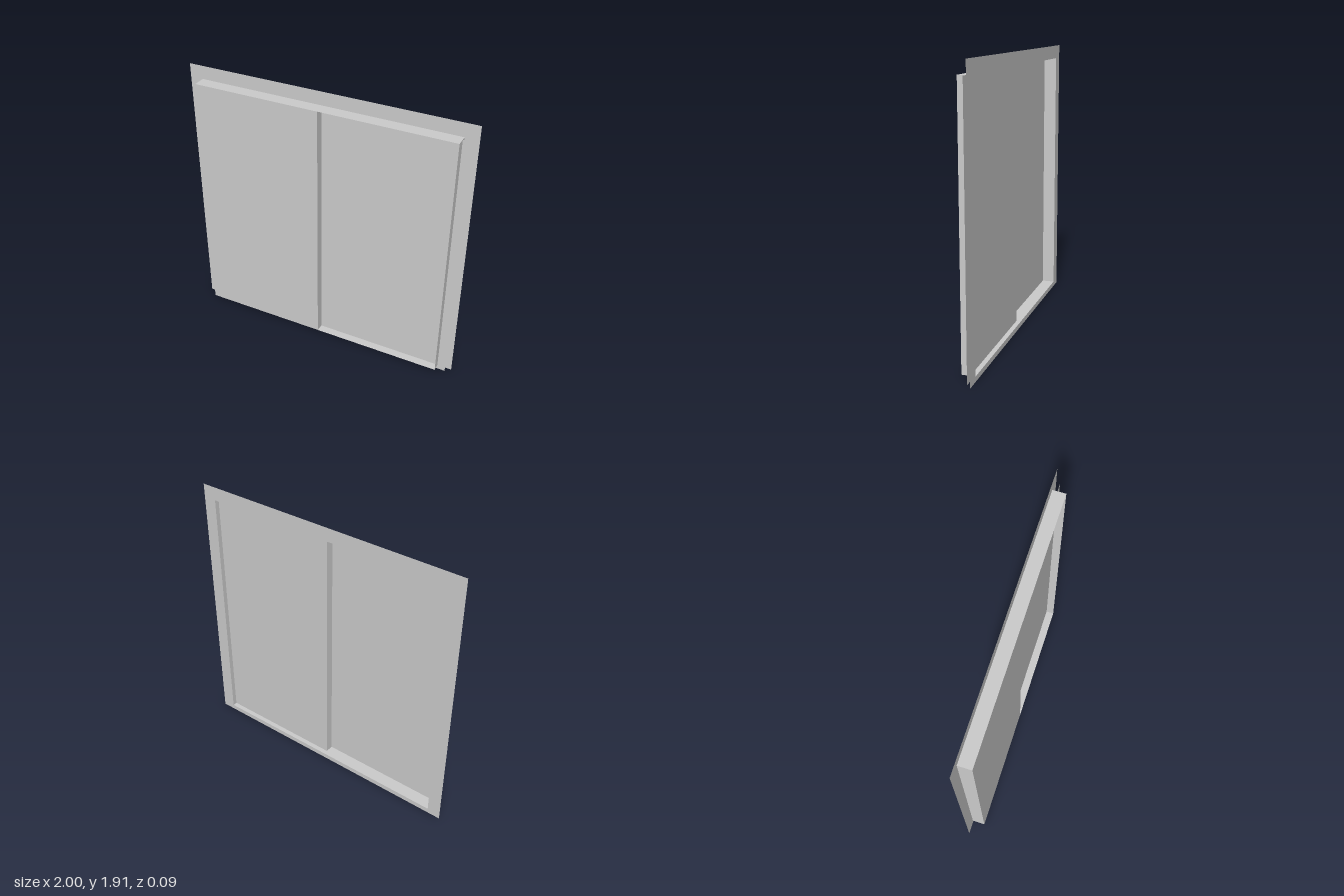
import * as THREE from 'three';

const W = 1, H = 1.914;                    // frame half width and height
const HX = 0.907, Y0 = 0.035, Y1 = 1.82;   // opening
const BACK = -0.045, FRONT = 0.045, MID = -0.012; // depths of the sheets
const SPLIT = -0.008;                      // where the two panes meet

const material = new THREE.MeshStandardMaterial({
  color: 0xcccccc, side: THREE.DoubleSide, flatShading: true,
});

// Flat four-cornered sheet, corners counter-clockwise
function sheet(name, a, b, c, d) {
  const geo = new THREE.BufferGeometry();
  geo.setAttribute('position', new THREE.Float32BufferAttribute([...a, ...b, ...c, ...d], 3));
  geo.setIndex([0, 1, 2, 0, 2, 3]);
  geo.computeVertexNormals();
  const mesh = new THREE.Mesh(geo, material);
  mesh.name = name;
  return mesh;
}

// Upright sheet facing the front
const pane = (name, x0, x1, y0, y1, z) =>
  sheet(name, [x0, y0, z], [x1, y0, z], [x1, y1, z], [x0, y1, z]);

const rectangle = (Type, x, y0, y1) => new Type([
  new THREE.Vector2(-x, y0), new THREE.Vector2(x, y0),
  new THREE.Vector2(x, y1), new THREE.Vector2(-x, y1),
]);

export function createModel() {
  const group = new THREE.Group();
  group.name = 'slidingWindow';

  // Flat surround with the window opening
  const outline = rectangle(THREE.Shape, W, 0, H);
  outline.holes.push(rectangle(THREE.Path, HX, Y0, Y1));
  const frame = new THREE.Mesh(new THREE.ShapeGeometry(outline), material);
  frame.name = 'frame';
  frame.position.z = BACK;
  group.add(frame);

  // Four reveal walls running forward from the opening
  const corners = [[-HX, Y0], [HX, Y0], [HX, Y1], [-HX, Y1]];
  ['sill', 'leftReveal', 'headReveal', 'rightReveal'].forEach((name, i) => {
    const p = corners[i], q = corners[(i + 1) % 4];
    group.add(sheet(name, [...p, BACK], [...p, FRONT], [...q, FRONT], [...q, BACK]));
  });

  // Front pane and the set-back pane, which runs past the opening
  group.add(pane('frontPane', -HX, SPLIT, Y0, Y1, FRONT));
  group.add(pane('rearPane', SPLIT, 0.963, 0, Y1, MID));

  // Step joining the two panes
  group.add(sheet('paneStep', [SPLIT, Y0, FRONT], [SPLIT, 0, MID], [SPLIT, Y1, MID], [SPLIT, Y1, FRONT]));

  return group;
}
